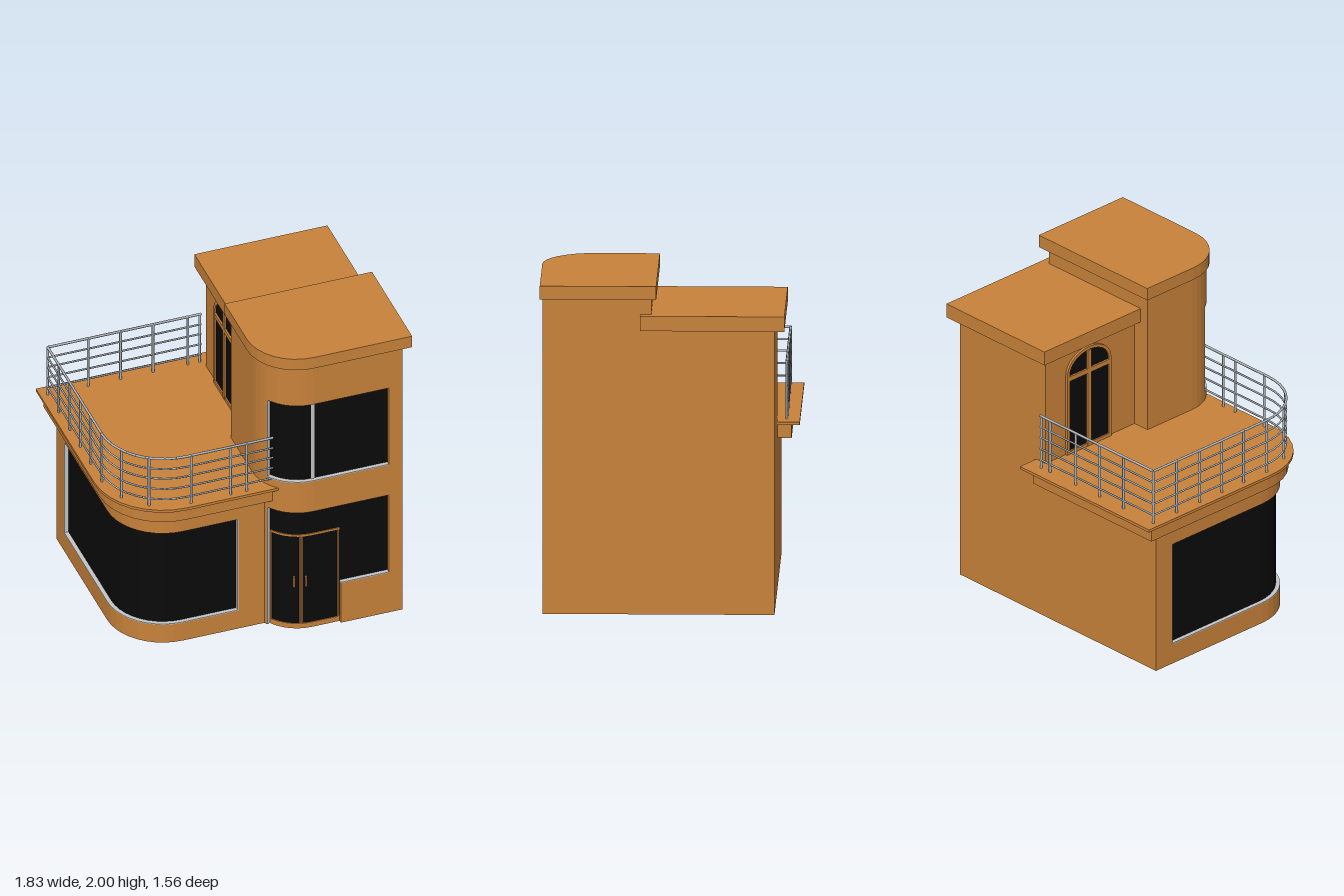
import * as THREE from 'three';

const mat = (name, color, side = THREE.FrontSide) => {
  const m = new THREE.MeshStandardMaterial({ color, side });
  m.name = name;
  return m;
};

export function createModel() {
  const wall = mat('ochre wall', 0xc8823a);
  const glass = mat('black glass', 0x0a0a0a);
  const trim = mat('pale trim', 0xc4c6c8);
  const metal = mat('rail metal', 0xaeb4ba);

  const model = new THREE.Group();
  const house = new THREE.Group();
  house.name = 'house';
  house.rotation.y = -0.018;
  model.add(house);

  const add = (name, geo, material, parent = house) => {
    const m = new THREE.Mesh(geo, material);
    m.name = name;
    parent.add(m);
    return m;
  };
  const box = (name, x0, x1, y0, y1, z0, z1, material, parent) => {
    const g = new THREE.BoxGeometry(x1 - x0, y1 - y0, z1 - z0);
    g.translate((x0 + x1) / 2, (y0 + y1) / 2, (z0 + z1) / 2);
    return add(name, g, material, parent);
  };
  // Plan outline [x, z] raised from y0 to y1
  const raise = (name, pts, y0, y1, material, parent) => {
    const shape = new THREE.Shape(pts.map(([x, z]) => new THREE.Vector2(x, -z)));
    const g = new THREE.ExtrudeGeometry(shape, { depth: y1 - y0, bevelEnabled: false });
    g.rotateX(-Math.PI / 2).translate(0, y0, 0);
    return add(name, g, material, parent);
  };

  // Path from the back along the left side, round the corner and along the front
  const makePath = (x0, zBack, zFront, r, xEnd, segs = 10) => {
    const side = zFront - r - zBack, arc = r * Math.PI / 2;
    const length = side + arc + xEnd - x0 - r;
    const at = (s, d = 0) => {
      if (s <= side) return [x0 + d, zBack + s];
      if (s >= side + arc) return [x0 + r + s - side - arc, zFront - d];
      const t = (s - side) / r;
      return [x0 + r - (r - d) * Math.cos(t), zFront - r + (r - d) * Math.sin(t)];
    };
    const points = (s0 = 0, s1 = length, d = 0) => {
      const list = [s0];
      for (let i = 0; i <= segs; i++) {
        const s = side + arc * i / segs;
        if (s > s0 + 1e-4 && s < s1 - 1e-4) list.push(s);
      }
      return [...list, s1].map(s => at(s, d));
    };
    return { at, points, length };
  };
  // Curved slice of wall between two insets
  const strip = (name, path, s0, s1, d0, d1, y0, y1, material) =>
    raise(name, [...path.points(s0, s1, d0), ...path.points(s0, s1, d1).reverse()], y0, y1, material);

  const D = 0.03; // window recess

  // Lower building
  const low = makePath(-0.835, -0.63, 0.59, 0.35, 0.12);
  const lowEnd = [[0.2, 0.3], [0.843, 0.3], [0.843, -0.63]];
  const lowBlock = (name, y0, y1, d) =>
    raise(name, [...low.points(0, low.length, d), ...lowEnd], y0, y1, wall);
  lowBlock('lowerWallBase', 0, 0.13, 0);
  lowBlock('lowerWallCore', 0.13, 0.8, D);
  lowBlock('lowerWallTop', 0.8, 1.01, 0);
  const a0 = 0.13, a1 = 1.77;
  strip('lowerWallBack', low, 0, a0, 0, D, 0.13, 0.8, wall);
  strip('lowerWallFront', low, a1, low.length, 0, D, 0.13, 0.8, wall);
  strip('cornerWindow', low, a0, a1, D - 0.004, D, 0.13, 0.8, glass);
  strip('cornerSill', low, a0, a1, 0, D - 0.004, 0.13, 0.136, trim);
  for (const s of [a0, a1 - 0.005])
    strip('cornerJamb', low, s, s + 0.005, 0.001, D - 0.004, 0.136, 0.8, trim);

  // Terrace slab and its fascia
  const slab = (name, x0, zb, zf, r, xr, y0, y1) => raise(name,
    [...makePath(x0, zb, zf, r, 0.3, 8).points(), [0.3, 0.2], [xr, 0.2], [xr, zb]], y0, y1, wall);
  slab('terraceFascia', -0.885, -0.715, 0.64, 0.4, 0.13, 0.92, 1.01);
  slab('terraceSlab', -0.916, -0.764, 0.669, 0.43, 0.19, 1.01, 1.028);

  // Front tower
  const tower = makePath(0, 0.1, 0.745, 0.28, 0.843);
  const T = tower.length, w0 = 0.514, w1 = 1.283, doorEnd = 0.98;
  raise('towerCore', [...tower.points(0, T, D), [0.843, 0.1]], 0, 1.92, wall);
  strip('towerSideWall', tower, 0, w0, 0, D, 0, 1.92, wall);
  strip('towerFrontPier', tower, w1, T, 0, D, 0, 1.92, wall);
  strip('towerMidWall', tower, w0, w1, 0, D, 0.86, 1.08, wall);
  strip('towerTopWall', tower, w0, w1, 0, D, 1.645, 1.92, wall);
  strip('wallBesideDoor', tower, doorEnd, w1, 0, D, 0, 0.29, wall);
  const pane = (name, y0, y1, s0, sill) => {
    strip(name + 'Window', tower, w0, w1, D - 0.004, D, y0, y1, glass);
    strip(name + 'Sill', tower, s0, w1, 0, D - 0.004, sill, sill + 0.006, trim);
    strip(name + 'Jamb', tower, w0, w0 + 0.005, 0.001, D - 0.004, y0, y1, trim);
  };
  pane('upper', 1.08, 1.645, w0, 1.08);
  pane('entrance', 0, 0.86, doorEnd, 0.29);
  strip('upperMullion', tower, 0.8, 0.821, D - 0.009, D, 1.086, 1.645, trim);

  // Curved double door
  const doorBit = (name, s0, s1, y0, y1, out = 0.01) =>
    strip(name, tower, s0, s1, D - out, D - 0.002, y0, y1, wall);
  const d0 = w0 + 0.01;
  for (const s of [d0, 0.722, 0.736, doorEnd - 0.014]) doorBit('doorStile', s, s + 0.008, 0, 0.685);
  doorBit('doorHead', d0, doorEnd, 0.672, 0.685);
  doorBit('doorFoot', d0, doorEnd, 0, 0.035);
  for (const s of [0.683, 0.759]) doorBit('doorHandle', s, s + 0.011, 0.31, 0.38, 0.022);

  // Roofs and rear room
  raise('towerRoof', [...makePath(-0.03, 0.07, 0.76, 0.31, 0.9, 8).points(), [0.9, 0.07]], 1.92, 2, wall);
  box('rearRoom', 0.11, 0.843, 1, 1.73, -0.63, 0.12, wall);
  box('rearRoof', 0.058, 0.898, 1.73, 1.82, -0.69, 0.165, wall);

  // Arched terrace door on the side of the rear room
  const arch = (z0, z1, y0, ySpring, rise, Kind = THREE.Shape) => {
    const p = new Kind();
    p.moveTo(z0, y0);
    p.lineTo(z1, y0);
    p.lineTo(z1, ySpring);
    p.absellipse((z0 + z1) / 2, ySpring, (z1 - z0) / 2, rise, 0, Math.PI, false);
    return p;
  };
  const sidePlate = (name, shape, depth, material) => {
    const g = new THREE.ExtrudeGeometry(shape, { depth, bevelEnabled: false, curveSegments: 10 });
    g.rotateY(-Math.PI / 2).translate(0.11, 0, 0);
    add(name, g, material);
  };
  sidePlate('terraceDoorGlass', arch(-0.45, -0.12, 1.03, 1.56, 0.12), 0.006, glass);
  const frame = arch(-0.465, -0.105, 1.028, 1.56, 0.135);
  frame.holes.push(arch(-0.445, -0.125, 1.05, 1.56, 0.115, THREE.Path));
  sidePlate('terraceDoorFrame', frame, 0.015, wall);
  box('terraceDoorPost', 0.092, 0.11, 1.03, 1.67, -0.3, -0.27, wall);
  box('terraceDoorTransom', 0.092, 0.11, 1.52, 1.55, -0.45, -0.12, wall);

  // Terrace railing
  const railing = new THREE.Group();
  railing.name = 'railing';
  house.add(railing);
  const rod = (name, a, b, r) => {
    const dir = b.clone().sub(a);
    const m = add(name, new THREE.CylinderGeometry(r, r, dir.length(), 6), metal, railing);
    m.position.copy(a).addScaledVector(dir, 0.5);
    m.quaternion.setFromUnitVectors(new THREE.Vector3(0, 1, 0), dir.normalize());
  };
  const rail = makePath(-0.87, -0.685, 0.63, 0.39, 0.07);
  const line = [[0.1, -0.685], ...rail.points()];
  for (const y of [1.08, 1.155, 1.23, 1.3, 1.375])
    for (let i = 1; i < line.length; i++)
      rod('rail', new THREE.Vector3(line[i - 1][0], y, line[i - 1][1]),
        new THREE.Vector3(line[i][0], y, line[i][1]), y > 1.35 ? 0.008 : 0.006);
  const posts = [0.09, 0.015, -0.205, -0.41, -0.615].map(x => [x, -0.685]);
  for (const s of [0, 0.19, 0.38, 0.56, 0.74, 0.93, 1.13, 1.315, 1.57, 1.82, 1.92]) posts.push(rail.at(s));
  for (const [x, z] of posts)
    rod('railPost', new THREE.Vector3(x, 1.02, z), new THREE.Vector3(x, 1.378, z), 0.008);

  return model;
}
